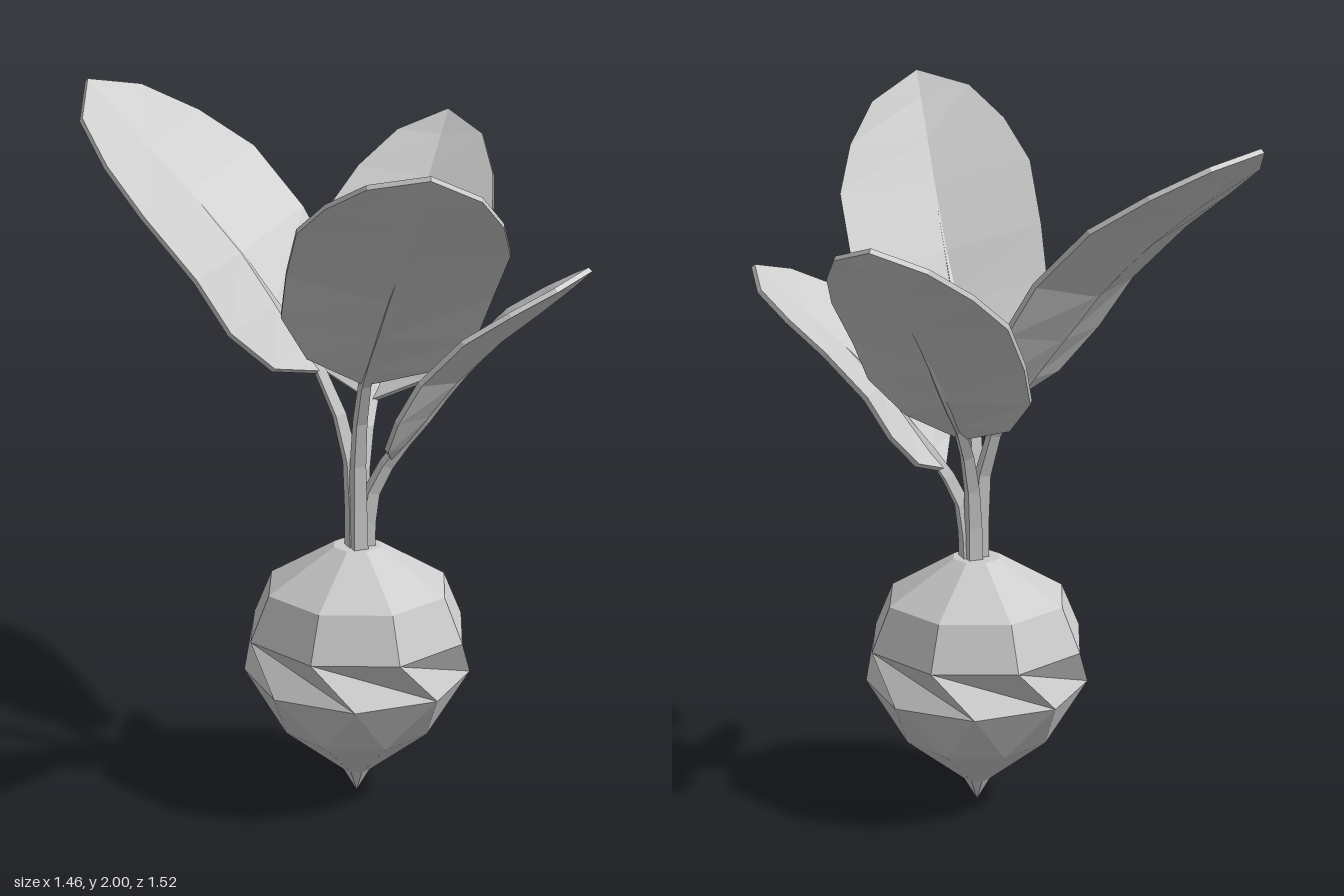
import * as THREE from 'three';

const material = new THREE.MeshStandardMaterial({ color: 0xcccccc, flatShading: true });
const V = (x, y, z) => new THREE.Vector3(x, y, z);

function addMesh(group, name, geometry) {
  const mesh = new THREE.Mesh(geometry, material);
  mesh.name = name;
  group.add(mesh);
}

// Faceted root: a lathe whose belly ring is turned half a step
function bulbGeometry() {
  const profile = [[0, 0], [0.04, 0.07], [0.215, 0.21], [0.32, 0.37], [0.32, 0.5], [0.265, 0.63], [0.07, 0.75], [0, 0.75]];
  const geo = new THREE.LatheGeometry(profile.map(([r, y]) => new THREE.Vector2(r, y)), 8);
  const pos = geo.attributes.position, v = V(0, 0, 0), up = V(0, 1, 0);
  for (let i = 0; i < pos.count; i++) {
    v.fromBufferAttribute(pos, i);
    if (Math.abs(v.y - 0.37) < 0.01) v.applyAxisAngle(up, Math.PI / 8);
    pos.setXYZ(i, v.x, v.y, v.z);
  }
  geo.translate(0.11, 0, 0.05);
  geo.computeVertexNormals();
  return geo;
}

// Leaf outline shared by all blades: place along the leaf, share of full width
const outline = [[0, 0], [0.08, 0.62], [0.22, 0.95], [0.38, 0.99], [0.59, 1], [0.76, 0.82], [0.91, 0.52], [1, 0]];

// Cross-sections [left, mid, right]; the middle is sunk below the edges
function leafSections({ base, middle, tip, side }, normal) {
  const spine = new THREE.CatmullRomCurve3([base, middle, tip], false, 'centripetal');
  return outline.map(([t, width]) => {
    const c = spine.getPointAt(t);
    return [
      c.clone().addScaledVector(side, -width),
      c.clone().addScaledVector(normal, -0.055 * Math.sin(Math.PI * t)),
      c.clone().addScaledVector(side, width),
    ];
  });
}

// Thin solid blade: upper skin, lower skin and rim
function bladeGeometry(sections, normal) {
  const out = [];
  const tri = (a, b, c) => {
    if (a.equals(b) || b.equals(c) || a.equals(c)) return;
    for (const p of [a, b, c]) out.push(p.x, p.y, p.z);
  };
  const quad = (a, b, c, d) => { tri(a, b, c); tri(a, c, d); };
  const under = sections.map((s) => s.map((p) => p.clone().addScaledVector(normal, -0.015)));
  for (let i = 0; i < sections.length - 1; i++) {
    const s = sections[i], n = sections[i + 1], us = under[i], un = under[i + 1];
    for (let k = 0; k < 2; k++) {
      quad(s[k], s[k + 1], n[k + 1], n[k]);
      quad(us[k + 1], us[k], un[k], un[k + 1]);
    }
    quad(s[0], n[0], un[0], us[0]);
    quad(n[2], s[2], us[2], un[2]);
  }
  const geo = new THREE.BufferGeometry();
  geo.setAttribute('position', new THREE.Float32BufferAttribute(out, 3));
  geo.computeVertexNormals();
  return geo;
}

// Four-sided stalk that tapers into the midrib
function stalkGeometry(points) {
  const curve = new THREE.CatmullRomCurve3(points, false, 'centripetal');
  const steps = 10, sides = 4;
  const geo = new THREE.TubeGeometry(curve, steps, 0.03, sides);
  const pos = geo.attributes.position, v = V(0, 0, 0);
  for (let i = 0; i < pos.count; i++) {
    const t = Math.floor(i / (sides + 1)) / steps;
    const c = curve.getPointAt(t);
    v.fromBufferAttribute(pos, i).sub(c).multiplyScalar(1 - 0.9 * t).add(c);
    pos.setXYZ(i, v.x, v.y, v.z);
  }
  geo.computeVertexNormals();
  return geo;
}

// side is the half-width vector at the widest place of the blade
const leaves = [
  {
    name: 'rightLeaf', root: V(0.105, 0.73, 0.06), knee: V(0.085, 1.03, 0.055),
    base: V(0, 1.24, 0.04), middle: V(-0.26, 1.66, 0.065), tip: V(-0.72, 2, 0.03), side: V(0.035, 0.045, -0.275),
  },
  {
    name: 'backLeaf', root: V(0.11, 0.73, 0.03), knee: V(0.105, 0.95, 0.01),
    base: V(0.1, 1.14, -0.06), middle: V(0.065, 1.525, -0.36), tip: V(0.05, 1.83, -0.75), side: V(0.255, 0.01, 0),
  },
  {
    name: 'leftLeaf', root: V(0.13, 0.73, 0.04), knee: V(0.145, 0.9, 0.035),
    base: V(0.19, 1.01, 0.02), middle: V(0.38, 1.345, -0.03), tip: V(0.72, 1.58, -0.1), side: V(0.015, 0.01, 0.21),
  },
  {
    name: 'frontLeaf', root: V(0.125, 0.73, 0.075), knee: V(0.13, 1.05, 0.09),
    base: V(0.17, 1.26, 0.14), middle: V(0.34, 1.645, 0.345), tip: V(0.6, 2, 0.74), side: V(-0.235, 0.04, 0.15),
  },
];

export function createModel() {
  const model = new THREE.Group();
  model.name = 'rootVegetable';
  addMesh(model, 'bulb', bulbGeometry());
  for (const leaf of leaves) {
    const group = new THREE.Group();
    group.name = leaf.name;
    const normal = leaf.side.clone().cross(leaf.tip.clone().sub(leaf.base)).normalize();
    const sections = leafSections(leaf, normal);
    addMesh(group, 'blade', bladeGeometry(sections, normal));
    const rib = [0, 2, 3, 4, 5].map((i) => sections[i][1].clone().addScaledVector(normal, -0.008));
    addMesh(group, 'stalk', stalkGeometry([leaf.root, leaf.knee, ...rib]));
    model.add(group);
  }
  return model;
}
